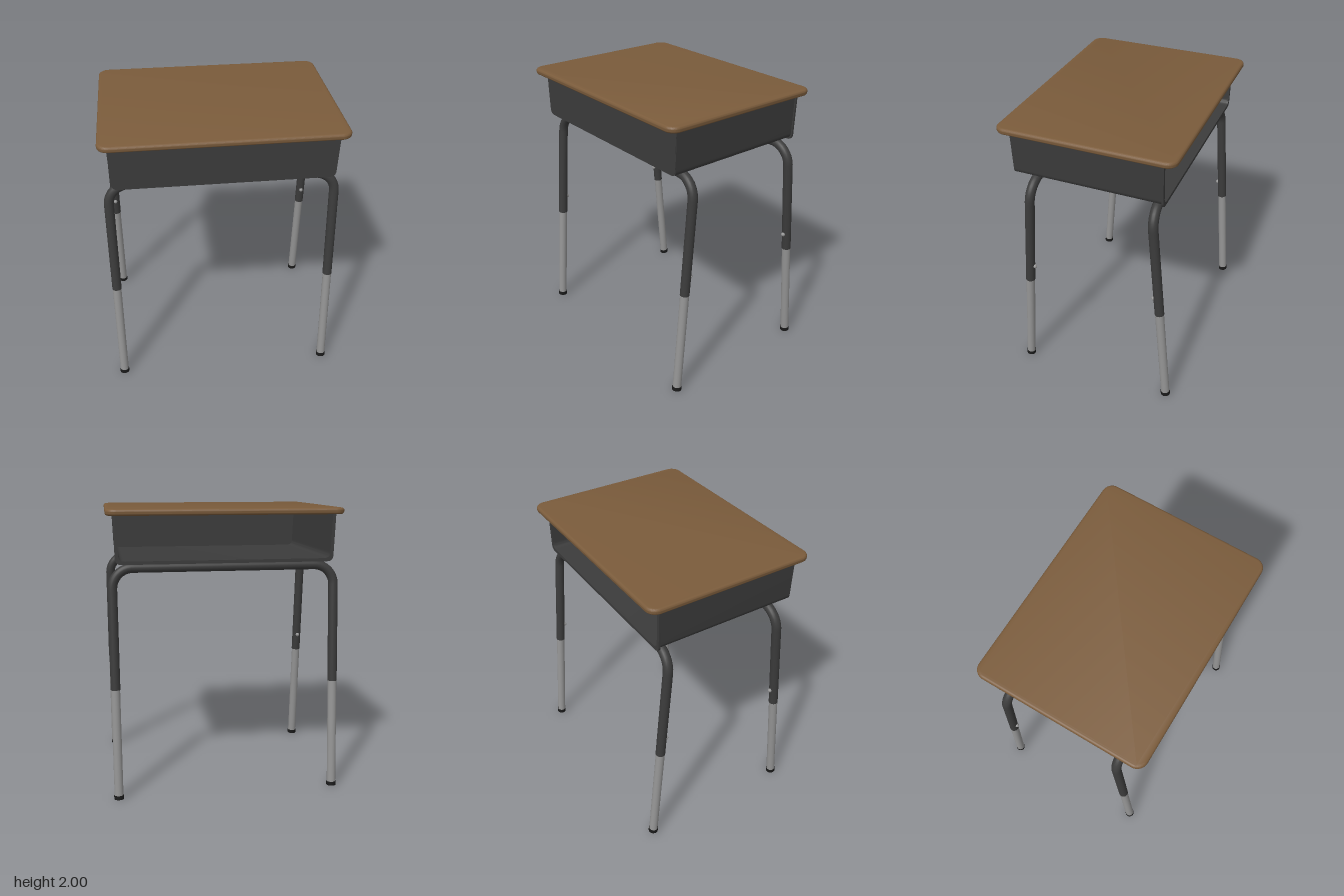
import * as THREE from 'three';
import { toCreasedNormals } from 'three/addons/utils/BufferGeometryUtils.js';

const material = (name, color) => new THREE.MeshStandardMaterial({ name, color });

export function createModel() {
  const wood = material('wood', 0x7a5b3b);
  const darkSteel = material('dark steel', 0x3b3b3b);
  const silver = material('silver', 0x949494);
  const rubber = material('black rubber', 0x1a1a1a);
  const desk = new THREE.Group();
  desk.name = 'schoolDesk';

  const add = (parent, name, geometry, mat, x = 0, y = 0, z = 0) => {
    const mesh = new THREE.Mesh(geometry, mat);
    mesh.name = name;
    mesh.position.set(x, y, z);
    parent.add(mesh);
    return mesh;
  };

  // Table top: rounded rectangle with a softened edge
  const bevel = 0.018, hx = 0.805 - bevel, hz = 0.605 - bevel, r = 0.055;
  const topShape = new THREE.Shape()
    .moveTo(-hx + r, -hz).lineTo(hx - r, -hz)
    .absarc(hx - r, -hz + r, r, -Math.PI / 2, 0)
    .absarc(hx - r, hz - r, r, 0, Math.PI / 2)
    .absarc(-hx + r, hz - r, r, Math.PI / 2, Math.PI)
    .absarc(-hx + r, -hz + r, r, Math.PI, Math.PI * 1.5);
  const topGeometry = toCreasedNormals(new THREE.ExtrudeGeometry(topShape, {
    depth: 0.043 - 2 * bevel, bevelSize: bevel, bevelThickness: bevel, bevelSegments: 5, curveSegments: 10,
  }).rotateX(-Math.PI / 2), 0.6);
  add(desk, 'tableTop', topGeometry, wood, 0, 1.957 + bevel, 0.01);

  // U-shaped section of the book box, inset from its outer face
  const trayTop = 1.956;
  const section = (inset) => {
    const top = 0.748 - inset, bottom = 0.738 - inset, y = 1.643 + inset, c = 0.045;
    return new THREE.Shape()
      .moveTo(-top, trayTop).lineTo(-bottom, y + c)
      .quadraticCurveTo(-bottom, y, -bottom + c, y)
      .lineTo(bottom - c, y)
      .quadraticCurveTo(bottom, y, bottom, y + c)
      .lineTo(top, trayTop);
  };
  const extrude = (shape, depth) =>
    toCreasedNormals(new THREE.ExtrudeGeometry(shape, { depth, bevelEnabled: false }), 0.6);
  const channel = (outer, inner) =>
    new THREE.Shape([...section(outer).getPoints(8), ...section(inner).getPoints(8).reverse()]);

  // Book box: open at the back, closed at the front
  const box = new THREE.Group();
  box.name = 'bookBox';
  desk.add(box);
  add(box, 'boxShell', extrude(channel(0, 0.01), 1.03), darkSteel, 0, 0, -0.5);
  add(box, 'boxFront', extrude(section(0.004), 0.012), darkSteel, 0, 0, 0.52);
  add(box, 'boxBackRim', extrude(channel(-0.01, 0.012), 0.014), darkSteel, 0, 0, -0.51);

  // Flanges and screws that hold the box under the top
  add(box, 'frontFlange', new THREE.BoxGeometry(1.4, 0.006, 0.035), darkSteel, 0, 1.953, 0.545);
  const screw = new THREE.CylinderGeometry(0.009, 0.009, 0.006, 12);
  for (const x of [-0.48, -0.17, 0.17, 0.48]) add(box, 'flangeScrew', screw, darkSteel, x, 1.948, 0.548);
  for (const s of [-1, 1]) {
    add(box, 'sideFlange', new THREE.BoxGeometry(0.032, 0.006, 0.94), darkSteel, s * 0.758, 1.953, 0.01);
    for (const z of [-0.35, 0.01, 0.37]) add(box, 'flangeScrew', screw, darkSteel, s * 0.764, 1.948, z);
  }

  // Tubular leg frame, bent in one piece, then splayed outwards
  const tubeRadius = 0.033, legX = 0.77, bend = 0.14, upper = 0.828, leg = 1.607;
  const k = bend * 0.448;
  const v = (x, y) => new THREE.Vector3(x, y, 0);
  const path = new THREE.CurvePath();
  path.add(new THREE.LineCurve3(v(-legX, -upper), v(-legX, -bend)));
  path.add(new THREE.CubicBezierCurve3(v(-legX, -bend), v(-legX, -k), v(-legX + k, 0), v(-legX + bend, 0)));
  path.add(new THREE.LineCurve3(v(-legX + bend, 0), v(legX - bend, 0)));
  path.add(new THREE.CubicBezierCurve3(v(legX - bend, 0), v(legX - k, 0), v(legX, -k), v(legX, -bend)));
  path.add(new THREE.LineCurve3(v(legX, -bend), v(legX, -upper)));
  const frameGeometry = new THREE.TubeGeometry(path, 120, tubeRadius, 20);
  const sleeveEnd = new THREE.CylinderGeometry(tubeRadius, tubeRadius, 0.004, 20);
  const lowerGeometry = new THREE.CylinderGeometry(0.031, 0.031, leg - upper + 0.08, 20);
  const footGeometry = new THREE.CylinderGeometry(0.034, 0.034, 0.028, 20);
  const boltGeometry = new THREE.SphereGeometry(0.015, 12, 8);

  const addFrame = (name, z, turn, tilt) => {
    const side = new THREE.Group();
    side.name = name;
    side.position.set(0, 1.605, z);
    side.rotation.y = turn;
    const frame = new THREE.Group();
    frame.name = name + 'Tilt';
    frame.rotation.x = -tilt;
    side.add(frame);
    desk.add(side);
    add(frame, 'bentTube', frameGeometry, darkSteel);
    for (const s of [-1, 1]) {
      const x = s * legX;
      add(frame, 'sleeveEnd', sleeveEnd, darkSteel, x, -upper);
      add(frame, 'lowerLeg', lowerGeometry, silver, x, -(leg + upper - 0.08) / 2);
      add(frame, 'foot', footGeometry, rubber, x, -leg + 0.014);
      add(frame, 'heightBolt', boltGeometry, silver, x, -0.698, -0.036);
    }
  };
  addFrame('frontLegs', 0.405, 0, 0.081);
  addFrame('rearLegs', -0.445, Math.PI, 0.084);

  // Cross rails joining the two frames beneath the box
  for (const s of [-1, 1]) {
    add(desk, 'crossRail', new THREE.BoxGeometry(0.085, 0.008, 0.82), darkSteel, s * 0.53, 1.574, -0.02);
    for (const e of [-1, 1])
      add(desk, 'railWall', new THREE.BoxGeometry(0.008, 0.073, 0.82), darkSteel, s * 0.53 + e * 0.0385, 1.6065, -0.02);
    for (const z of [-0.3, -0.02, 0.26])
      add(desk, 'railScrew', new THREE.CylinderGeometry(0.016, 0.012, 0.008, 12), silver, s * 0.53, 1.567, z);
  }
  return desk;
}
